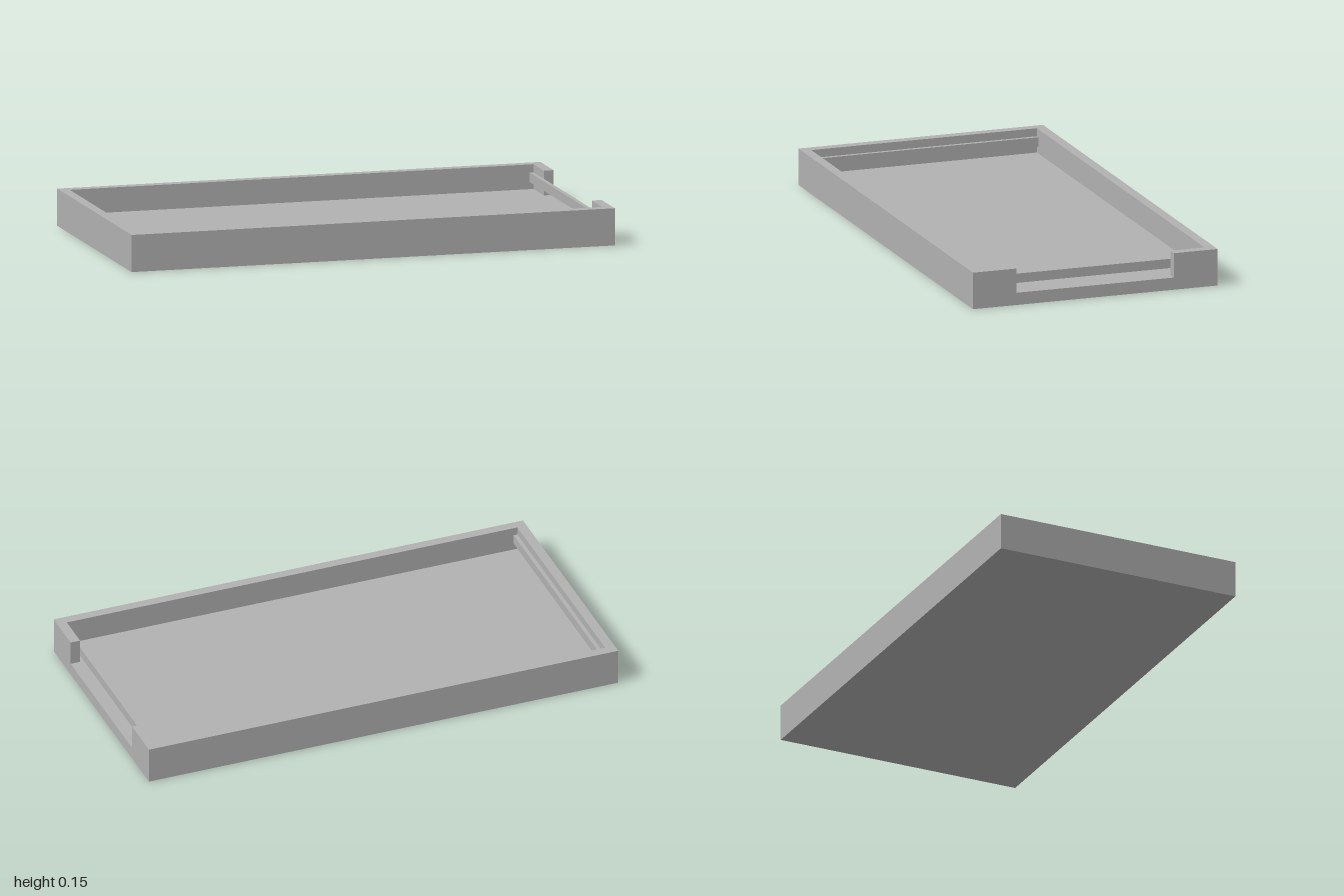
import * as THREE from 'three';

const HX = 1, HZ = 0.517;      // outer half sizes
const WALL = 0.04;             // wall thickness
const FLOOR = 0.05, TOP = 0.15; // floor and rim heights
const GAP = 0.333;             // half width of the opening in the left wall

export function createModel() {
  const grey = new THREE.MeshStandardMaterial({ color: 0xb2b2b2 });
  grey.name = 'grey';
  const group = new THREE.Group();
  group.name = 'tray';

  const add = (name, geometry, x = 0, y = 0, z = 0) => {
    const mesh = new THREE.Mesh(geometry, grey);
    mesh.name = name;
    mesh.position.set(x, y, z);
    group.add(mesh);
  };

  // Floor slab
  add('floor', new THREE.BoxGeometry(2 * HX, FLOOR, 2 * HZ), 0, FLOOR / 2, 0);

  // Rim: one C-shaped outline, open on the +x side
  const ix = HX - WALL, iz = HZ - WALL;
  const outline = [
    [HX, GAP], [HX, HZ], [-HX, HZ], [-HX, -HZ], [HX, -HZ], [HX, -GAP],
    [ix, -GAP], [ix, -iz], [-ix, -iz], [-ix, iz], [ix, iz], [ix, GAP],
  ].map(([x, y]) => new THREE.Vector2(x, y));
  const rim = new THREE.ExtrudeGeometry(new THREE.Shape(outline), {
    depth: TOP - FLOOR, bevelEnabled: false,
  });
  rim.rotateX(-Math.PI / 2);
  add('rim', rim, 0, FLOOR, 0);

  // Thin rails along both end walls; the one at +x bridges the opening
  const railWidth = 0.016, railLow = 0.079, railHigh = 0.117;
  for (const side of [-1, 1]) {
    add(
      side > 0 ? 'leftRail' : 'rightRail',
      new THREE.BoxGeometry(railWidth, railHigh - railLow, 2 * iz),
      side * (ix - railWidth / 2), (railLow + railHigh) / 2, 0,
    );
  }
  return group;
}
